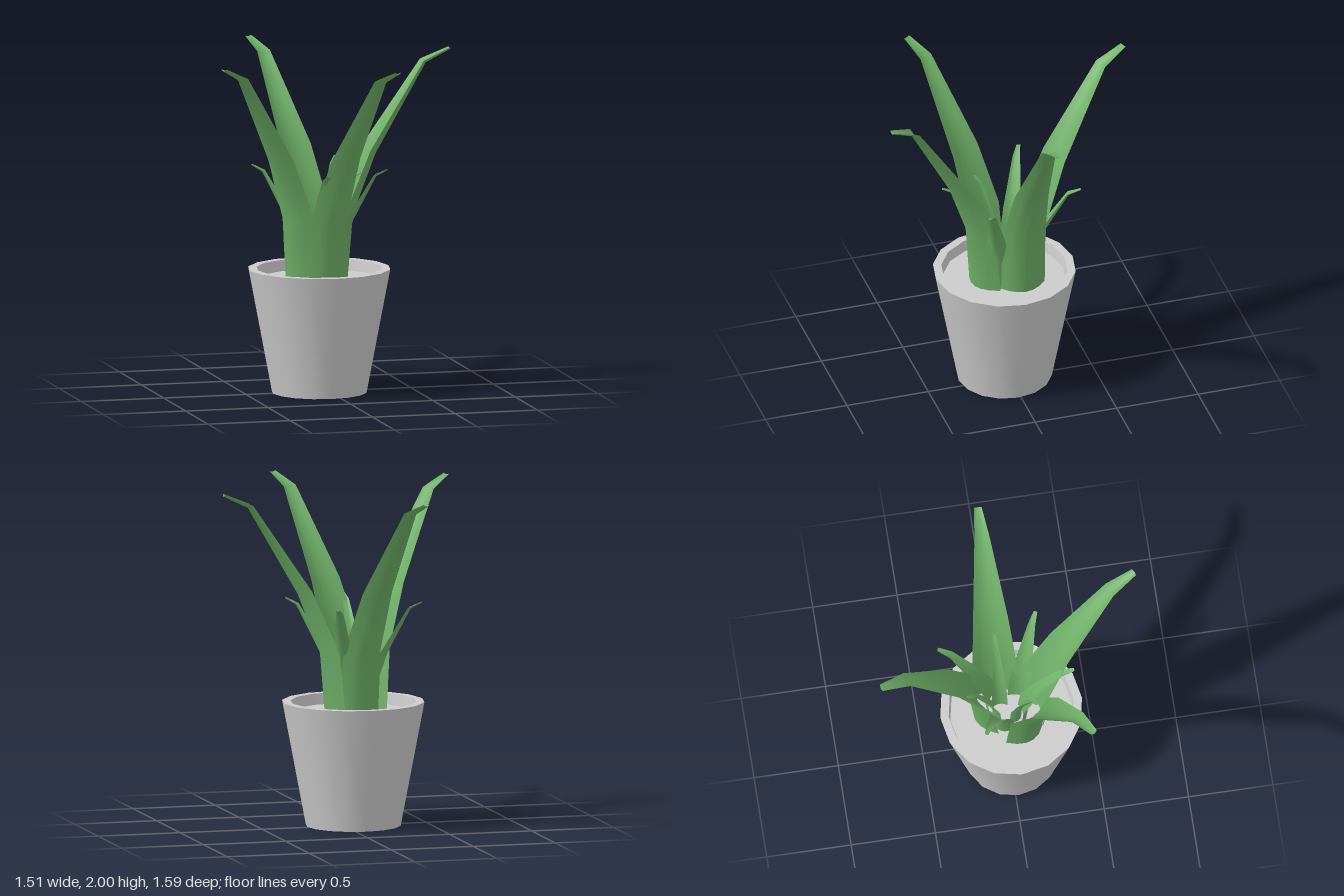
import * as THREE from 'three';
import { toCreasedNormals } from 'three/addons/utils/BufferGeometryUtils.js';

const grey = new THREE.MeshStandardMaterial({ color: 0xcccccc });
const green = new THREE.MeshStandardMaterial({ color: 0x6fb068, side: THREE.DoubleSide });
const SOIL = 0.67;

// Leaf stations: [reach fraction, height fraction, width]
const STATIONS = [
  [0, 0, 0.28], [0.05, 0.285, 0.265], [0.27, 0.55, 0.21], [0.76, 0.945, 0.09], [1, 1, 0.045],
];

// Crescent section for a unit width: outer arc left to right, inner arc back
function crescent() {
  const pts = [];
  for (let i = 0; i <= 6; i++) { const u = i / 3 - 1; pts.push([u / 2, -0.3 * u * u]); }
  for (let i = 5; i >= 1; i--) { const u = i / 3 - 1; pts.push([u / 2, -0.13 - 0.17 * u * u]); }
  return pts;
}

// Channelled leaf sweeping up along y and out along +z
function leafGeometry(reach, height, widthScale) {
  const section = crescent(), n = section.length;
  const path = STATIONS.map(([r, h]) => new THREE.Vector2(r * reach, h * height));
  const positions = [], index = [];
  STATIONS.forEach(([, , w], k) => {
    const before = path[Math.max(k - 1, 0)], after = path[Math.min(k + 1, path.length - 1)];
    const t = after.clone().sub(before).normalize();
    for (const [u, v] of section) {
      const s = w * widthScale;
      positions.push(u * s, path[k].y - t.x * v * s, path[k].x + t.y * v * s);
    }
  });
  for (let k = 0; k < STATIONS.length - 1; k++) {
    for (let i = 0; i < n; i++) {
      const a = k * n + i, b = k * n + (i + 1) % n;
      index.push(a, b, b + n, a, b + n, a + n);
    }
  }
  // Close the tip
  const top = (STATIONS.length - 1) * n;
  for (let i = 0; i < 6; i++) {
    const c = top + n - i - 1, d = top + (n - i) % n;
    if (i < 5) index.push(top + i, top + i + 1, c);
    if (i > 0) index.push(top + i, c, d);
  }
  const geo = new THREE.BufferGeometry();
  geo.setAttribute('position', new THREE.Float32BufferAttribute(positions, 3));
  geo.setIndex(index);
  return toCreasedNormals(geo, 0.8);
}

// Leaf ring: each entry is [base x, base z, tip x, tip z]
function leafRing(name, leaves, tipY, widthScale) {
  const ring = new THREE.Group();
  ring.name = name + 'Leaves';
  leaves.forEach(([bx, bz, tx, tz], i) => {
    const dx = tx - bx, dz = tz - bz;
    const leaf = new THREE.Mesh(leafGeometry(Math.hypot(dx, dz), tipY - SOIL + 0.01, widthScale), green);
    leaf.name = name + 'Leaf' + (i + 1);
    leaf.position.set(bx, SOIL - 0.01, bz);
    leaf.rotation.y = Math.atan2(dx, dz);
    ring.add(leaf);
  });
  return ring;
}

export function createModel() {
  const plant = new THREE.Group();
  plant.name = 'pottedPlant';

  // Tapered pot with a rim and a sunken soil surface
  const profile = [[0, 0], [0.28, 0], [0.42, 0.735], [0.37, 0.735], [0.36, SOIL], [0, SOIL]]
    .map(([x, y]) => new THREE.Vector2(x, y));
  const pot = new THREE.Mesh(toCreasedNormals(new THREE.LatheGeometry(profile, 16), 0.6), grey);
  pot.name = 'pot';
  pot.position.set(-0.06, 0, 0.015);
  plant.add(pot);

  // Three nested rings of leaves
  plant.add(leafRing('outer', [
    [0.13, -0.06, 0.755, -0.06],
    [-0.02, 0.21, 0.215, 0.79],
    [-0.25, 0.12, -0.745, 0.405],
    [-0.08, -0.2, -0.28, -0.79],
  ], 1.99, 1));
  plant.add(leafRing('middle', [
    [0.03, -0.12, 0.15, -0.39],
    [0.05, 0.09, 0.3, 0.215],
    [-0.09, 0.1, -0.095, 0.385],
    [-0.17, -0.06, -0.42, -0.185],
  ], 1.33, 0.5));
  plant.add(leafRing('inner', [
    [0.01, -0.045, 0.21, -0.045],
    [-0.12, 0.05, -0.26, 0.14],
    [-0.09, -0.09, -0.155, -0.26],
  ], 1.28, 0.33));

  return plant;
}
